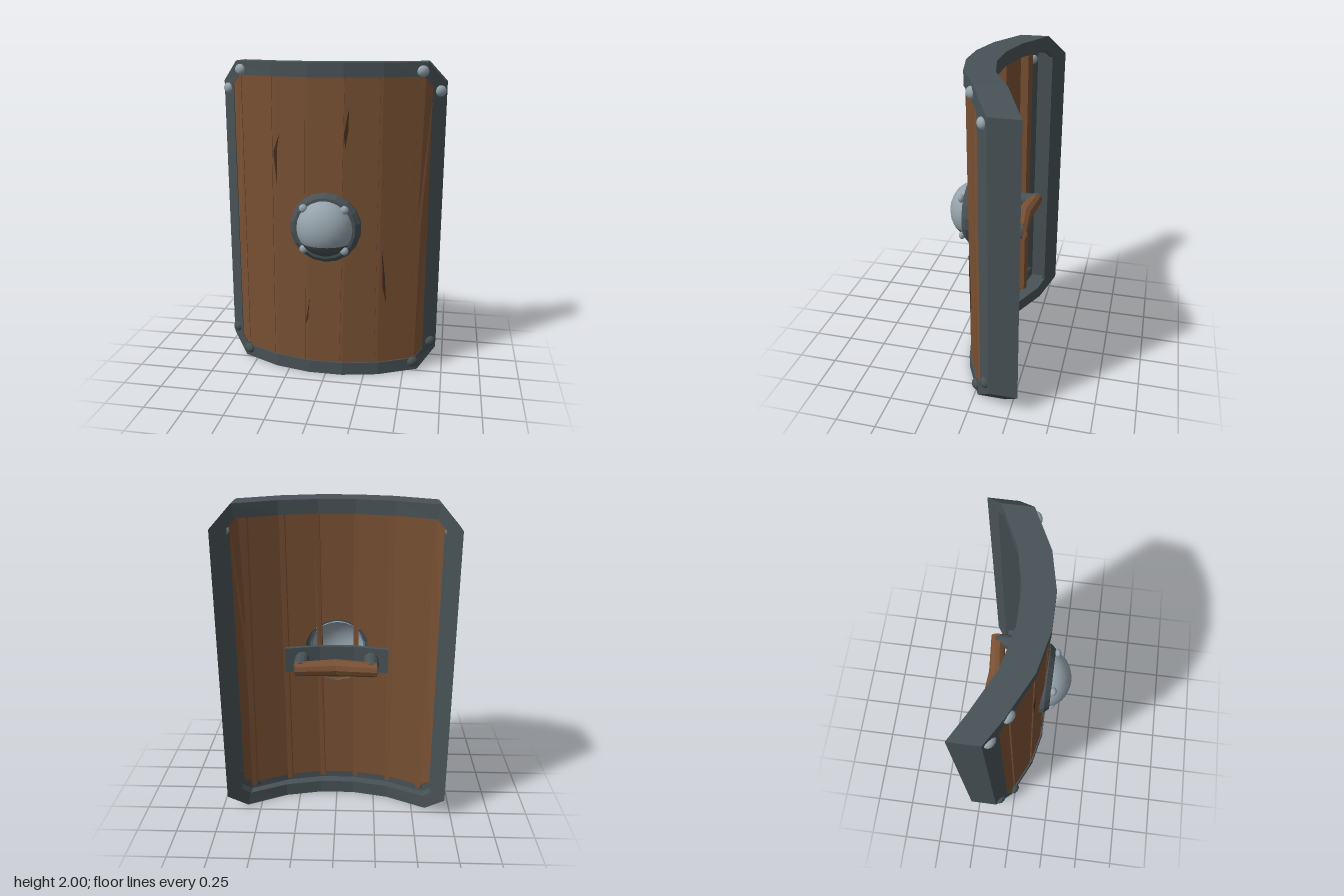
import * as THREE from 'three';

const mat = (name, color, opts = {}) => {
  const m = new THREE.MeshStandardMaterial({ color, ...opts });
  m.name = name;
  return m;
};

// Front surface depth of the curved shield at a given x
const KNOTS = [[0, 0.15], [0.11, 0.15], [0.34, 0.1], [0.58, -0.013], [0.703, -0.12]];
function curveZ(x) {
  const a = Math.abs(x);
  for (let i = 1; i < KNOTS.length; i++) {
    const [x0, z0] = KNOTS[i - 1], [x1, z1] = KNOTS[i];
    if (a <= x1 || i === KNOTS.length - 1) return z0 + (z1 - z0) * (a - x0) / (x1 - x0);
  }
}

// Shift each vertex in z so a flat part follows the shield curve
function bend(geo, offset) {
  const p = geo.attributes.position;
  for (let i = 0; i < p.count; i++) p.setZ(i, p.getZ(i) + curveZ(p.getX(i)) + offset);
  geo.computeVertexNormals();
  return geo;
}

function slab(points, depth, front) {
  const shape = new THREE.Shape(points.map(([x, y]) => new THREE.Vector2(x, y)));
  return bend(new THREE.ExtrudeGeometry(shape, { depth, bevelEnabled: false }), front - depth);
}

// Channel-section frame swept round a chamfered rectangle
function rimGeometry() {
  const quarter = [ // outer x, outer y, inner x, inner y (y from mid height)
    [0.11, 1, 0.11, 0.915], [0.34, 1, 0.34, 0.915],
    [0.59, 1, 0.57, 0.915], [0.703, 0.873, 0.62, 0.86],
  ];
  const flip = (list, sx, sy) => list.map(([a, b, c, d]) => [a * sx, b * sy, c * sx, d * sy]);
  const back = [...quarter].reverse();
  const path = [...quarter, ...flip(back, 1, -1), ...flip(quarter, -1, -1), ...flip(back, -1, 1)];
  const profile = [[0, 0], [1, 0], [1, 0.018], [0.25, 0.018], [0.25, 0.16], [1, 0.16], [1, 0.18], [0, 0.18]];
  const point = ([ox, oy, ix, iy], [t, d]) => {
    const x = ox + (ix - ox) * t;
    return [x, 1 + oy + (iy - oy) * t, curveZ(x) - d];
  };
  const pos = [];
  path.forEach((p, i) => {
    const q = path[(i + 1) % path.length];
    profile.forEach((s, j) => {
      const r = profile[(j + 1) % profile.length];
      const a = point(p, s), b = point(q, s), c = point(q, r), d = point(p, r);
      pos.push(...a, ...c, ...b, ...a, ...d, ...c);
    });
  });
  const geo = new THREE.BufferGeometry();
  geo.setAttribute('position', new THREE.Float32BufferAttribute(pos, 3));
  geo.computeVertexNormals();
  return geo;
}

export function createModel() {
  const wood = mat('wood', 0x7a5134);
  const crackWood = mat('dark wood', 0x452c1b);
  const iron = mat('iron', 0x485256, { flatShading: true, side: THREE.DoubleSide });
  const steel = mat('steel', 0x95a3ac, { side: THREE.DoubleSide });
  const darkSteel = mat('dark steel', 0x465052, { side: THREE.DoubleSide });

  const root = new THREE.Group();
  root.name = 'shield';
  const add = (name, geo, material, parent = root) => {
    const m = new THREE.Mesh(geo, material);
    m.name = name;
    parent.add(m);
    return m;
  };

  add('rim', rimGeometry(), iron);

  // Planks, each in an upper and lower half around the hole behind the boss
  const top = [-0.636, -0.55, -0.33, -0.115, 0.125, 0.33, 0.54, 0.636];
  const bottom = [-0.636, -0.55, -0.345, -0.125, 0.1, 0.325, 0.558, 0.636];
  const planks = new THREE.Group();
  planks.name = 'planks';
  root.add(planks);
  const hole = 0.212, gap = 0.01;
  for (let i = 0; i < 7; i++) {
    const mid = (k) => (top[k] + bottom[k]) / 2;
    const l = mid(i) + gap, r = mid(i + 1) - gap;
    [[top, 1], [bottom, -1]].forEach(([ends, s]) => {
      const a = ends[i] + gap, b = ends[i + 1] - gap, y = 1 + s * 0.92, low = 1 + s * 0.865;
      // Outermost planks have a clipped corner
      const pts = [
        ...(i === 0 ? [[a, low], [-0.58, y]] : [[a, y]]),
        ...(i === 6 ? [[0.58, y], [b, low]] : [[b, y]]),
      ];
      for (let k = 0; k <= 12; k++) {
        const x = r + (l - r) * k / 12;
        pts.push([x, 1 + s * Math.sqrt(Math.max(0, hole * hole - x * x))]);
      }
      add('plank', slab(pts, 0.032, -0.01), wood, planks);
    });
  }
  // Battens closing the joints and standing proud at the back
  for (let i = 1; i < 7; i++) {
    const w = 0.016;
    const strip = [[bottom[i] - w, 0.08], [bottom[i] + w, 0.08], [top[i] + w, 1.92], [top[i] - w, 1.92]];
    add('batten', slab(strip, 0.075, -0.018), wood, planks);
  }

  // Splits in the front of the wood
  const cracks = [
    [[0.142, 1.74], [0.112, 1.58], [0.122, 1.5], [0.138, 1.6]],
    [[-0.295, 1.57], [-0.335, 1.46], [-0.315, 1.25], [-0.31, 1.48]],
    [[0.35, 0.86], [0.36, 0.6], [0.382, 0.5], [0.37, 0.68]],
    [[-0.105, 0.52], [-0.135, 0.33], [-0.115, 0.38]],
  ];
  for (const c of cracks) add('crack', slab(c, 0.005, -0.006), crackWood);

  // Corner rivets, flattened and square to the curve
  const rivet = new THREE.SphereGeometry(0.034, 12, 8);
  for (const sx of [-1, 1]) {
    for (const [x, y, m] of [[0.56, 1.947, steel], [0.665, 1.828, steel], [0.56, 0.06, darkSteel], [0.665, 0.18, darkSteel]]) {
      const r = add('corner rivet', rivet, m);
      r.position.set(sx * x, y, curveZ(x) - 0.001);
      r.rotation.y = sx * 0.6;
      r.scale.set(1.15, 1, 0.8);
    }
  }

  // Boss: conical ring, hollow dome with dark underside, four rivets
  const boss = new THREE.Group();
  boss.name = 'boss';
  boss.position.set(0, 1.003, 0.135);
  root.add(boss);
  const ringProfile = [[0.215, -0.025], [0.224, -0.025], [0.224, 0.012], [0.195, 0.043], [0.172, 0.045]]
    .map(([x, y]) => new THREE.Vector2(x, y));
  add('boss ring', new THREE.LatheGeometry(ringProfile, 18), iron, boss).rotation.x = Math.PI / 2;
  const cut = Math.PI * 2 / 3;
  [['dome', steel, 0, cut], ['dome underside', darkSteel, cut, Math.PI - cut]].forEach(([name, m, start, len]) => {
    const d = add(name, new THREE.SphereGeometry(0.18, 12, name === 'dome' ? 8 : 4, 0, Math.PI, start, len), m, boss);
    d.position.z = 0.015;
    d.scale.z = 0.15 / 0.18;
  });
  for (const sx of [-1, 1]) for (const sy of [-1, 1]) {
    const r = add('boss rivet', rivet, steel, boss);
    r.position.set(sx * 0.128, sy * 0.13, 0.06);
    r.scale.set(0.78, 0.78, 0.6);
  }

  // Handle: curved back plate, two posts and a bowed wooden grip
  const handle = new THREE.Group();
  handle.name = 'handle';
  root.add(handle);
  add('handle plate', bend(new THREE.BoxGeometry(0.65, 0.16, 0.03, 12, 1, 1), -0.15), iron, handle)
    .position.y = 0.995;
  for (const s of [-1, 1]) {
    const post = add('handle post', new THREE.CylinderGeometry(0.046, 0.046, 0.2, 16), iron, handle);
    post.rotation.x = Math.PI / 2;
    post.position.set(s * 0.219, 1, -0.12);
  }
  const grip = new THREE.CylinderGeometry(0.053, 0.053, 0.5, 10, 2).rotateZ(Math.PI / 2).toNonIndexed();
  const p = grip.attributes.position;
  for (let i = 0; i < p.count; i++) {
    const t = Math.abs(p.getX(i)) / 0.25, k = 1 - 0.18 * t;
    p.setXYZ(i, p.getX(i), p.getY(i) * k, p.getZ(i) * k - 0.178 - 0.03 * t);
  }
  grip.computeVertexNormals();
  add('grip', grip, wood, handle).position.y = 1;

  return root;
}
